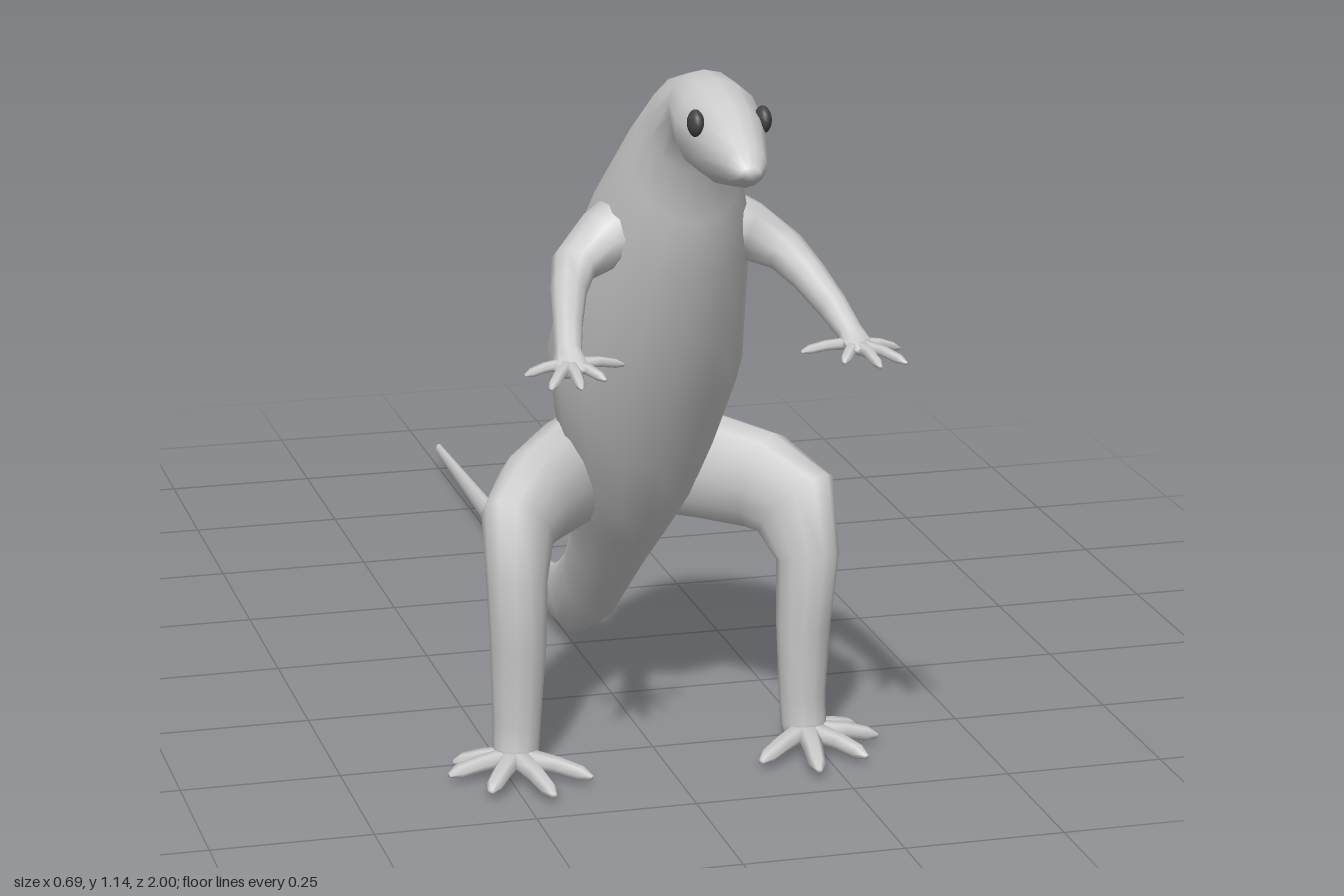
import * as THREE from 'three';

const skin = new THREE.MeshStandardMaterial({ color: 0xcccccc });
const dark = new THREE.MeshStandardMaterial({ color: 0x444444 });
const V = (x, y, z) => new THREE.Vector3(x, y, z);

// Skin a list of closed rings (each an array of Vector3) and cap both ends.
function skinRings(name, rings) {
  const n = rings[0].length, pos = [], idx = [];
  rings.forEach(r => r.forEach(p => pos.push(p.x, p.y, p.z)));
  for (let i = 0; i < rings.length - 1; i++) {
    for (let j = 0; j < n; j++) {
      const k = (j + 1) % n, a = i * n + j, b = i * n + k;
      idx.push(a, b, a + n, b, b + n, a + n);
    }
  }
  [0, rings.length - 1].forEach((i, end) => {
    const c = V(0, 0, 0);
    rings[i].forEach(p => c.addScaledVector(p, 1 / n));
    const m = pos.length / 3;
    pos.push(c.x, c.y, c.z);
    for (let j = 0; j < n; j++) {
      const a = i * n + j, b = i * n + (j + 1) % n;
      if (end) idx.push(m, a, b); else idx.push(m, b, a);
    }
  });
  const g = new THREE.BufferGeometry();
  g.setAttribute('position', new THREE.Float32BufferAttribute(pos, 3));
  g.setIndex(idx);
  g.computeVertexNormals();
  const mesh = new THREE.Mesh(g, skin);
  mesh.name = name;
  return mesh;
}

// Limb along stations [x, y, z, halfAcross, halfDeep]; "across" is the axis the limb bends about.
function limb(name, stations, across, side, sides = 10) {
  const pts = stations.map(s => V(s[0] * side, s[1], s[2]));
  const axis = V(across[0] * side, across[1], across[2]);
  const rings = pts.map((p, i) => {
    const t = V(0, 0, 0);
    if (i > 0) t.add(p.clone().sub(pts[i - 1]).normalize());
    if (i < pts.length - 1) t.add(pts[i + 1].clone().sub(p).normalize());
    t.normalize();
    const n = axis.clone().addScaledVector(t, -axis.dot(t)).normalize();
    const b = t.clone().cross(n);
    return Array.from({ length: sides }, (_, j) => {
      const a = j / sides * Math.PI * 2;
      return p.clone().addScaledVector(n, Math.cos(a) * stations[i][3])
        .addScaledVector(b, Math.sin(a) * stations[i][4]);
    });
  });
  return skinRings(name, rings);
}

// Splayed digits from a root to each tip, arched a little in the middle.
function digits(name, root, tips, r, side) {
  const group = new THREE.Group();
  group.name = name;
  tips.forEach(t => {
    const at = (k, lift, w) => [...root.map((v, i) => v + (t[i] - v) * k + (i === 1 ? lift : 0)), w, w * 0.8];
    const dx = t[0] - root[0], dz = t[2] - root[2];
    group.add(limb(name + 'Digit', [at(0, 0, r), at(0.55, 0.004, r * 0.8), at(0.85, 0.002, r * 0.7), at(1, 0, r * 0.25)],
      [dz, 0, -dx], side, 6));
  });
  return group;
}

// Head to tail: back z, back y, belly z, belly y, half width
const BODY = [
  [1.0, 1.05, 1.0, 1.03, 0.016],
  [0.98, 1.075, 0.975, 1.015, 0.032],
  [0.91, 1.12, 0.9, 1.0, 0.052],
  [0.83, 1.14, 0.845, 1.002, 0.066],
  [0.76, 1.14, 0.79, 1.035, 0.058],
  [0.67, 1.115, 0.738, 0.98, 0.068],
  [0.58, 1.05, 0.728, 0.9, 0.088],
  [0.45, 0.92, 0.705, 0.81, 0.122],
  [0.345, 0.81, 0.655, 0.69, 0.138],
  [0.285, 0.67, 0.6, 0.58, 0.15],
  [0.26, 0.56, 0.53, 0.465, 0.128],
  [0.235, 0.44, 0.47, 0.37, 0.1],
  [0.2, 0.335, 0.4, 0.3, 0.075],
  [0.13, 0.26, 0.3, 0.21, 0.058],
  [0.05, 0.19, 0.18, 0.1, 0.046],
  [-0.05, 0.13, 0.02, 0.02, 0.034],
  [-0.14, 0.09, -0.14, 0.004, 0.027],
  [-0.3, 0.065, -0.3, 0.006, 0.021],
  [-1.0, 0.045, -1.0, 0.025, 0.006],
];

export function createModel() {
  const model = new THREE.Group();
  model.name = 'lizard';

  // Head, trunk and tail in one skin
  const SIDES = 14;
  model.add(skinRings('body', BODY.map(([bz, by, fz, fy, w]) =>
    Array.from({ length: SIDES }, (_, j) => {
      const a = j / SIDES * Math.PI * 2, c = Math.cos(a) / 2;
      return V(Math.sin(a) * w, (by + fy) / 2 + c * (by - fy), (bz + fz) / 2 + c * (bz - fz));
    }))));

  for (const side of [1, -1]) {
    const label = side > 0 ? 'left' : 'right';

    // Eye
    const eye = new THREE.Mesh(new THREE.SphereGeometry(0.02, 14, 10), dark);
    eye.name = label + 'Eye';
    eye.scale.x = 0.6;
    eye.position.set(0.05 * side, 1.093, 0.893);
    model.add(eye);

    // Hind leg: thigh forward and outward, shin straight down
    model.add(limb(label + 'HindLeg', [
      [0.02, 0.42, 0.28, 0.05, 0.1],
      [0.11, 0.415, 0.375, 0.065, 0.09],
      [0.185, 0.41, 0.47, 0.06, 0.082],
      [0.222, 0.385, 0.52, 0.052, 0.08],
      [0.232, 0.31, 0.555, 0.046, 0.05],
      [0.229, 0.2, 0.548, 0.044, 0.042],
      [0.23, 0.08, 0.543, 0.038, 0.036],
      [0.232, 0.035, 0.545, 0.036, 0.036],
      [0.234, 0.006, 0.553, 0.034, 0.034],
    ], [0.7, 0, -0.7], side, 12));
    model.add(digits(label + 'Foot', [0.235, 0.025, 0.555], [
      [0.135, 0.01, 0.64], [0.21, 0.01, 0.7], [0.3, 0.01, 0.66], [0.345, 0.01, 0.575], [0.325, 0.01, 0.52],
    ], 0.02, side));

    // Foreleg: short upper arm outward, forearm reaching forward and down
    model.add(limb(label + 'Foreleg', [
      [0.05, 0.875, 0.6, 0.06, 0.075],
      [0.115, 0.855, 0.615, 0.045, 0.05],
      [0.165, 0.825, 0.64, 0.032, 0.036],
      [0.185, 0.8, 0.69, 0.028, 0.027],
      [0.203, 0.768, 0.755, 0.024, 0.022],
      [0.215, 0.74, 0.805, 0.018, 0.02],
      [0.22, 0.728, 0.835, 0.011, 0.026],
      [0.222, 0.724, 0.86, 0.007, 0.02],
    ], [0.2, 1, 0.2], side));
    model.add(digits(label + 'Hand', [0.218, 0.73, 0.825], [
      [0.135, 0.72, 0.82], [0.18, 0.718, 0.885], [0.225, 0.718, 0.92], [0.268, 0.718, 0.91], [0.285, 0.716, 0.825],
    ], 0.012, side));
  }
  return model;
}
